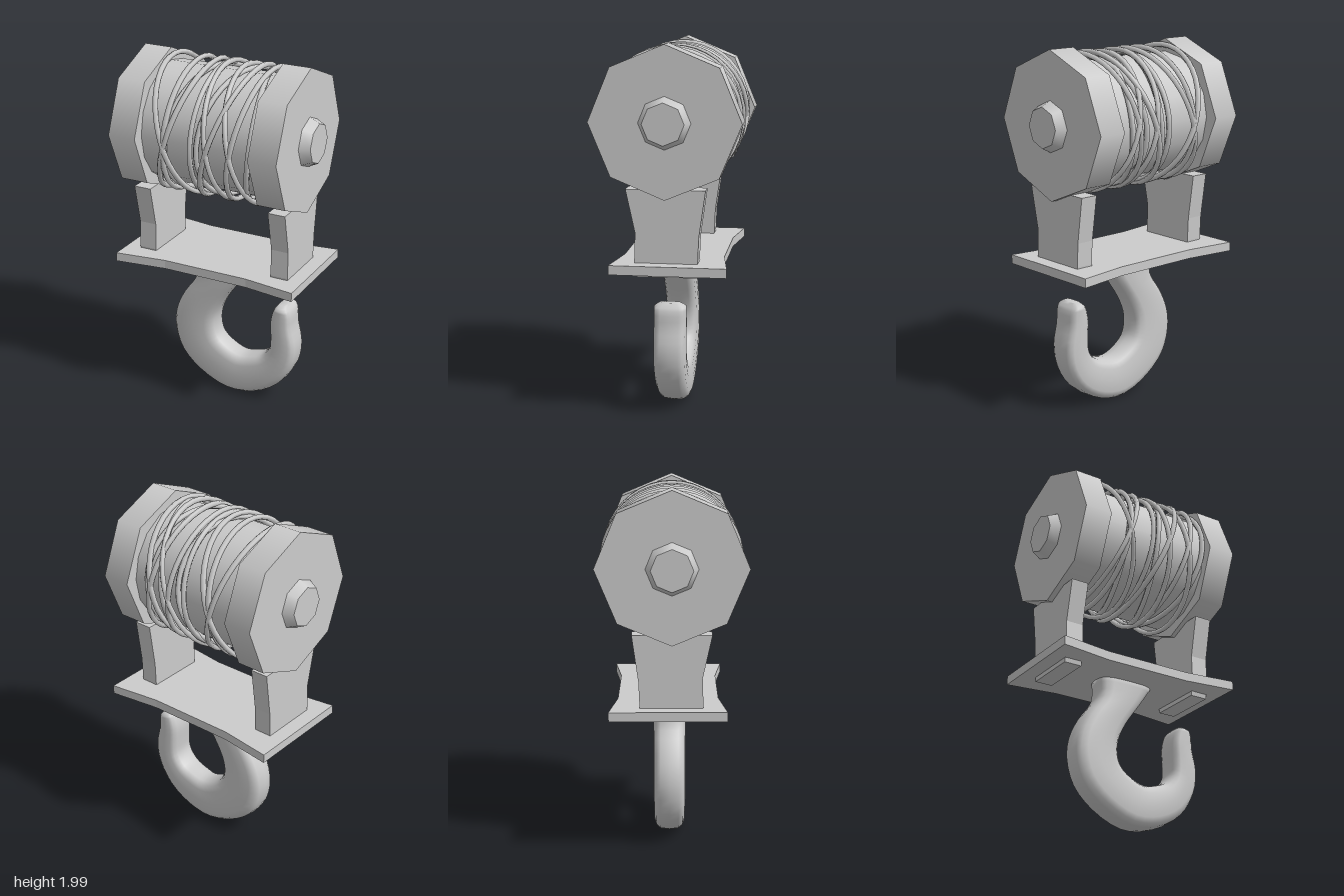
import * as THREE from 'three';

const material = new THREE.MeshStandardMaterial({ color: 0xcccccc });
const AXLE_Y = 1.6;

function addMesh(parent, name, geometry) {
  const mesh = new THREE.Mesh(geometry, material);
  mesh.name = name;
  parent.add(mesh);
  return mesh;
}

function polygon(points) {
  return new THREE.Shape(points.map(([x, y]) => new THREE.Vector2(x, y)));
}

// Cylinder lying along x, with a corner pointing straight up
function axleCylinder(rPlus, rMinus, length, x, sides) {
  return new THREE.CylinderGeometry(rPlus, rMinus, length, sides)
    .rotateZ(-Math.PI / 2)
    .translate(x, AXLE_Y, 0);
}

// Closed rope loop round the drum, leaning by a (over y) and b (over z)
function ropeLoop(centre, a, b, radius) {
  const points = [];
  for (let i = 0; i < 20; i++) {
    const t = (i / 20) * Math.PI * 2;
    points.push(new THREE.Vector3(
      centre + a * Math.cos(t) + b * Math.sin(t),
      AXLE_Y + radius * Math.cos(t),
      radius * Math.sin(t)));
  }
  return new THREE.TubeGeometry(new THREE.CatmullRomCurve3(points, true), 40, 0.015, 6, true);
}

// Hook: rounded cross-sections lofted between an outer and an inner curve
function hookGeometry() {
  const pairs = [
    [-0.17, 0.83, 0.18, 0.83], [-0.17, 0.7, 0.09, 0.7], [-0.25, 0.58, 0.0, 0.57],
    [-0.305, 0.46, -0.045, 0.47], [-0.315, 0.34, -0.05, 0.39], [-0.27, 0.2, -0.03, 0.33],
    [-0.15, 0.085, 0.03, 0.28], [0.03, 0.01, 0.11, 0.25], [0.2, 0.03, 0.19, 0.265],
    [0.35, 0.12, 0.25, 0.29], [0.435, 0.25, 0.295, 0.35], [0.455, 0.38, 0.3, 0.43],
    [0.43, 0.5, 0.3, 0.53], [0.42, 0.59, 0.32, 0.6], [0.39, 0.63, 0.345, 0.63],
  ];
  const outer = new THREE.CatmullRomCurve3(pairs.map((p) => new THREE.Vector3(p[0], p[1], 0)));
  const inner = new THREE.CatmullRomCurve3(pairs.map((p) => new THREE.Vector3(p[2], p[3], 0)));
  const steps = 42, sides = 16, midZ = -0.013;
  const positions = [], index = [];
  const soften = (v) => Math.sign(v) * Math.pow(Math.abs(v), 0.6);

  for (let i = 0; i <= steps; i++) {
    const o = outer.getPoint(i / steps), n = inner.getPoint(i / steps);
    const centre = o.clone().add(n).multiplyScalar(0.5);
    const half = o.clone().sub(n).multiplyScalar(0.5);
    const depth = i === steps ? 0.055 : i === steps - 1 ? 0.075 : 0.088;
    for (let j = 0; j < sides; j++) {
      const t = (j / sides) * Math.PI * 2, c = soften(Math.cos(t));
      positions.push(centre.x + half.x * c, centre.y + half.y * c, midZ + depth * soften(Math.sin(t)));
    }
  }
  for (let i = 0; i < steps; i++) {
    for (let j = 0; j < sides; j++) {
      const a = i * sides + j, b = i * sides + (j + 1) % sides;
      index.push(a, a + sides, b, b, a + sides, b + sides);
    }
  }
  // End caps
  const last = steps * sides;
  for (let j = 1; j < sides - 1; j++) {
    index.push(0, j, j + 1, last, last + j + 1, last + j);
  }
  const geometry = new THREE.BufferGeometry();
  geometry.setAttribute('position', new THREE.Float32BufferAttribute(positions, 3));
  geometry.setIndex(index);
  geometry.computeVertexNormals();
  return geometry;
}

export function createModel() {
  const model = new THREE.Group();
  model.name = 'winchWithHook';

  // Winch drum
  addMesh(model, 'drum', axleCylinder(0.33, 0.33, 0.68, 0, 16));

  // Rope loops: centre x, lean over y, lean over z, radius
  const rope = new THREE.Group();
  rope.name = 'rope';
  model.add(rope);
  const loops = [
    [-0.2, -0.11, 0.01, 0.368], [-0.19, 0.035, 0.01, 0.365], [-0.18, 0.12, 0.01, 0.366],
    [-0.025, 0.02, 0.0, 0.355], [-0.08, 0.04, -0.1, 0.345], [0.07, -0.05, 0.0, 0.368],
    [0.08, 0.13, 0.0, 0.37], [0.2, -0.08, 0.0, 0.365], [0.2, 0.08, 0.01, 0.365],
    [0.22, 0.04, 0.09, 0.35], [0.12, 0.03, -0.11, 0.35],
  ];
  loops.forEach((loop) => addMesh(rope, 'ropeLoop', ropeLoop(...loop)));

  // Support side profile, in (z, y)
  const legShape = polygon([
    [-0.16, 0.785], [0.15, 0.785], [0.165, 0.87], [0.16, 1.02],
    [0.21, 1.25], [-0.21, 1.25], [-0.175, 1.0], [-0.17, 0.87],
  ]);

  for (const side of [-1, 1]) {
    const label = side > 0 ? 'left' : 'right';
    // Octagonal flange and tapered axle cap
    addMesh(model, label + 'Flange', axleCylinder(0.4, 0.4, 0.16, side * 0.41, 8));
    const [plus, minus] = side > 0 ? [0.11, 0.14] : [0.14, 0.11];
    addMesh(model, label + 'AxleCap', axleCylinder(plus, minus, 0.06, side * 0.515, 8));

    // Support standing through the plate
    const leg = new THREE.ExtrudeGeometry(legShape, { depth: 0.1, bevelEnabled: false });
    leg.rotateY(-Math.PI / 2).translate(side * 0.407 + 0.05, 0, 0);
    addMesh(model, label + 'Support', leg);
  }

  // Base plate, slightly waisted in the middle
  const plateShape = polygon([
    [-0.54, -0.33], [-0.25, -0.29], [0.25, -0.29], [0.54, -0.33],
    [0.54, 0.29], [0.25, 0.25], [-0.25, 0.25], [-0.54, 0.29],
  ]);
  const plate = new THREE.ExtrudeGeometry(plateShape, { depth: 0.05, bevelEnabled: false });
  addMesh(model, 'basePlate', plate.rotateX(Math.PI / 2).translate(0, 0.86, 0));

  addMesh(model, 'hook', hookGeometry());
  return model;
}
